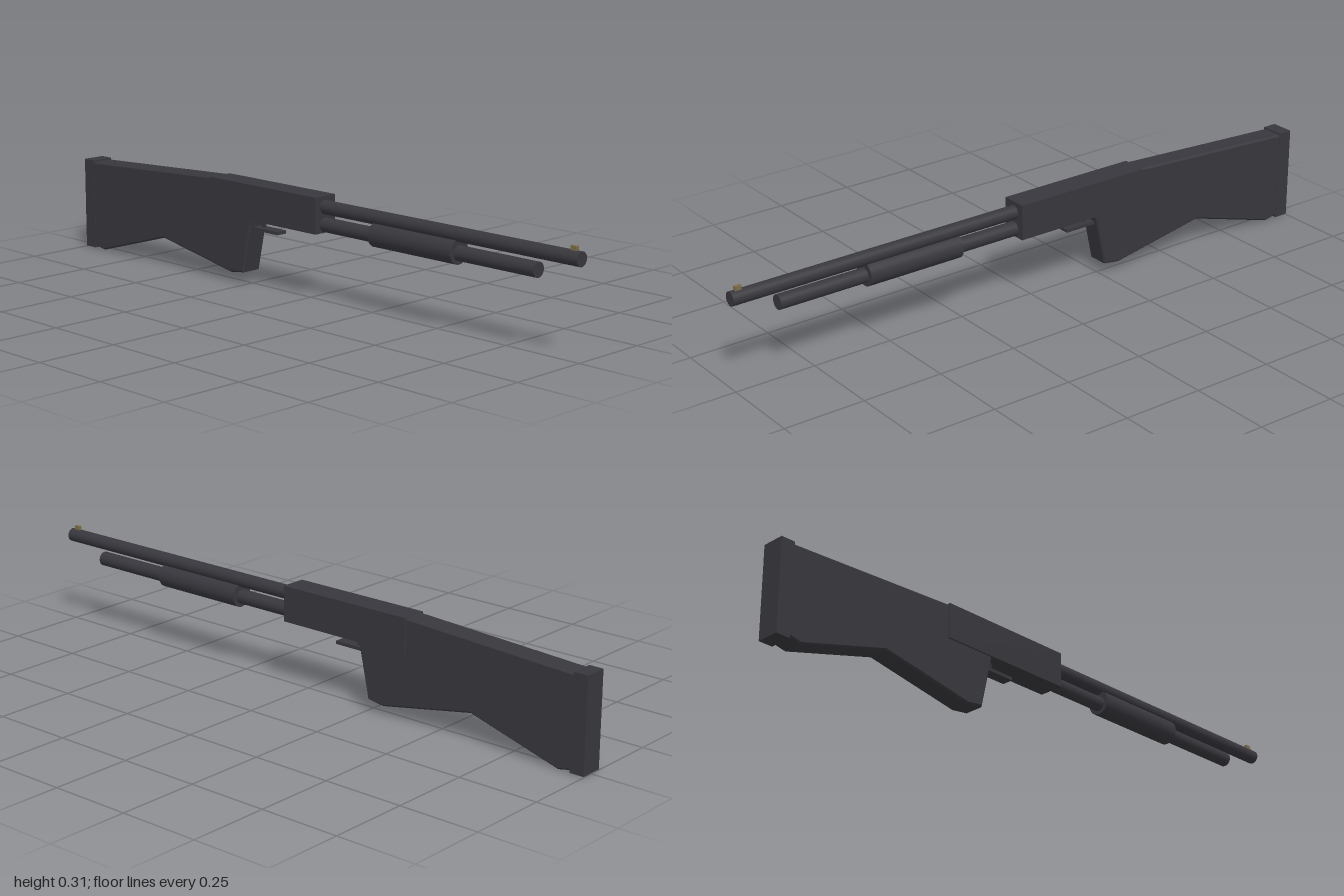
import * as THREE from 'three';

export function createModel() {
  const model = new THREE.Group();
  const gunmetal = new THREE.MeshStandardMaterial({ color: 0x38373d });
  gunmetal.name = 'dark gunmetal';
  const brass = new THREE.MeshStandardMaterial({ color: 0x7d6d48 });
  brass.name = 'dull brass';

  function add(name, geometry, material = gunmetal) {
    const mesh = new THREE.Mesh(geometry, material);
    mesh.name = name;
    model.add(mesh);
    return mesh;
  }

  // Box given by its width and its y and z limits
  function box(name, width, y0, y1, z0, z1, material) {
    const mesh = add(name, new THREE.BoxGeometry(width, y1 - y0, z1 - z0), material);
    mesh.position.set(0, (y0 + y1) / 2, (z0 + z1) / 2);
  }

  // Round bar along z
  function bar(name, radius, y, z0, z1) {
    const geometry = new THREE.CylinderGeometry(radius, radius, z1 - z0, 32);
    geometry.rotateX(Math.PI / 2);
    add(name, geometry).position.set(0, y, (z0 + z1) / 2);
  }

  // Receiver, barrel and magazine
  box('receiver', 0.08, 0.208, 0.317, -0.392, 0.06);
  bar('barrel', 0.021, 0.284, 0.04, 1);
  bar('magazineTube', 0.022, 0.232, 0.04, 0.857);
  bar('pumpGrip', 0.037, 0.236, 0.265, 0.577);
  box('frontSight', 0.01, 0.302, 0.317, 0.965, 0.985, brass);

  // Trigger and its guard plate
  box('trigger', 0.01, 0.178, 0.215, -0.202, -0.192);
  box('triggerGuard', 0.036, 0.174, 0.184, -0.235, -0.122);

  // Stock: side profile as (z, y), with a small bevel on the edges
  const profile = [
    [-0.2, 0.24], [-0.2, 0.3], [-0.39, 0.316], [-0.96, 0.287], [-0.96, 0.013],
    [-0.915, 0.004], [-0.62, 0.09], [-0.31, 0.033], [-0.255, 0.041], [-0.217, 0.215],
  ];
  const bevel = 0.005;
  const width = 0.07;
  const stock = new THREE.ExtrudeGeometry(
    new THREE.Shape(profile.map(([z, y]) => new THREE.Vector2(z, y))),
    {
      depth: width - 2 * bevel, bevelEnabled: true, bevelSegments: 1,
      bevelSize: bevel, bevelThickness: bevel, bevelOffset: -bevel,
    },
  );
  stock.translate(0, 0, bevel - width / 2);
  stock.rotateY(-Math.PI / 2);
  add('stock', stock);
  box('buttPad', 0.072, 0.006, 0.292, -1, -0.955);

  return model;
}
